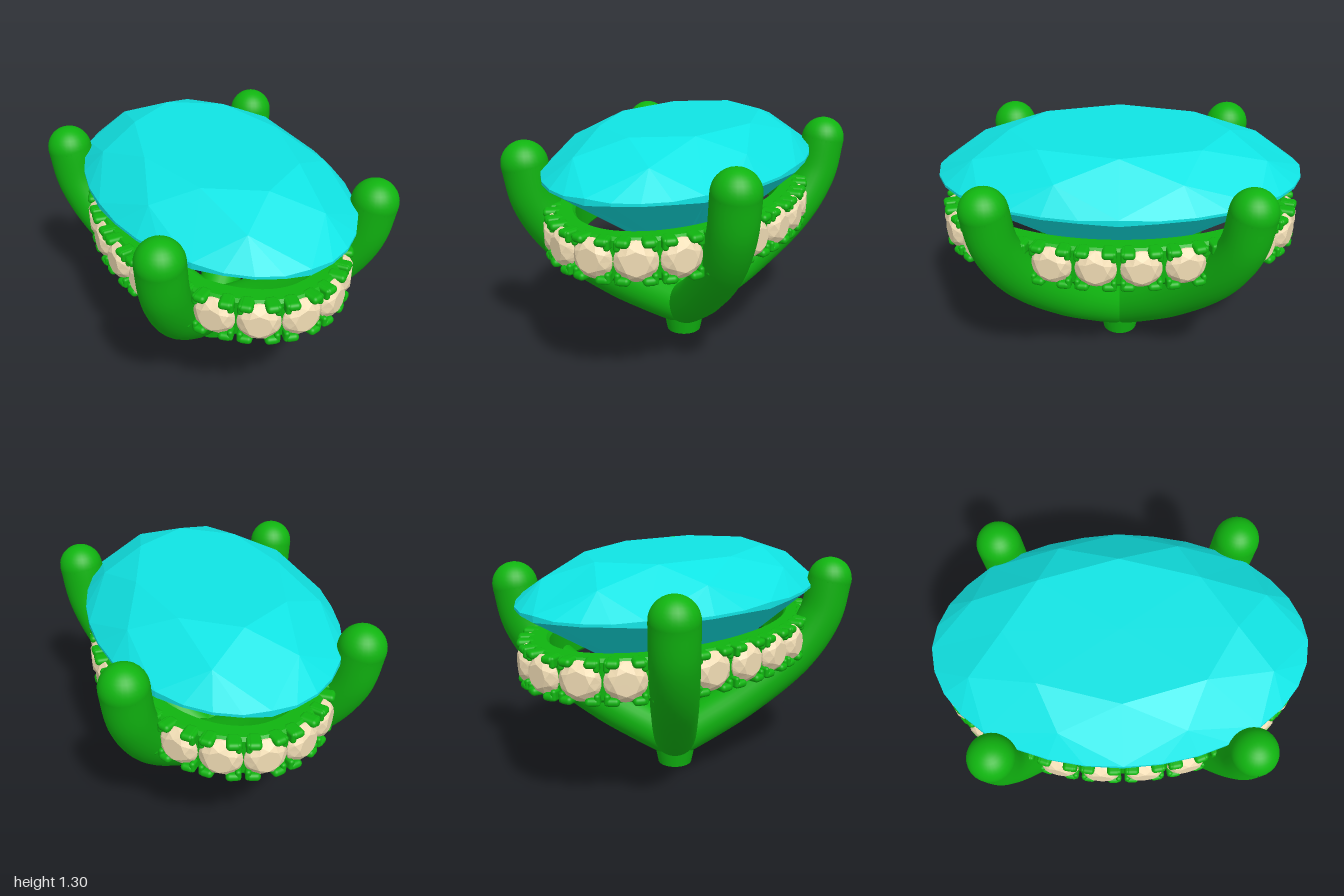
import * as THREE from 'three';
import { toCreasedNormals } from 'three/addons/utils/BufferGeometryUtils.js';
import { RoundedBoxGeometry } from 'three/addons/geometries/RoundedBoxGeometry.js';

const metal = new THREE.MeshStandardMaterial({ color: 0x10b410 });
const aqua = new THREE.MeshStandardMaterial({ color: 0x10e4e4, flatShading: true });
const cream = new THREE.MeshStandardMaterial({ color: 0xf0dcb4, flatShading: true });

function add(parent, name, geometry, material, x = 0, y = 0, z = 0) {
  const mesh = new THREE.Mesh(geometry, material);
  mesh.name = name;
  mesh.position.set(x, y, z);
  parent.add(mesh);
  return mesh;
}

// Oval brilliant cut: a, b are half widths; h holds the heights of each ring.
function brilliant(a, b, h) {
  const at = (deg, r, y) => {
    const t = THREE.MathUtils.degToRad(deg);
    return [a * r * Math.sin(t), y, b * r * Math.cos(t)];
  };
  const table = k => at(45 * k, 0.6, h.table);
  const star = k => at(45 * k + 22.5, 0.84, h.star);
  const wave = j => (j % 4 === 0 ? h.wave : 0);
  const upper = j => at(11.25 * j, 1, h.upper + wave(j));
  const lower = j => at(11.25 * j, 1, h.lower - wave(j));
  const pavilion = k => at(45 * k + 22.5, 0.2, h.pavilion);
  const culet = [0, h.culet, 0];
  const pos = [];
  const face = (...p) => {
    for (let i = 1; i < p.length - 1; i++) pos.push(...p[0], ...p[i], ...p[i + 1]);
  };
  for (let k = 0; k < 8; k++) {
    face([0, h.table, 0], table(k), table(k + 1));
    face(table(k), star(k), table(k + 1));
    face(table(k), star(k - 1), upper(4 * k), star(k));
    face(culet, pavilion(k), lower(4 * k), pavilion(k - 1));
    for (let j = 4 * k; j < 4 * k + 4; j++) {
      face(star(k), upper(j), upper(j + 1));
      face(upper(j), lower(j), lower(j + 1), upper(j + 1));
      face(pavilion(k), lower(j + 1), lower(j));
    }
  }
  const g = new THREE.BufferGeometry();
  g.setAttribute('position', new THREE.Float32BufferAttribute(pos, 3));
  g.computeVertexNormals();
  return g;
}

// Outer oval of the halo, and a frame on it: x along, y outward, z up.
const oval = new THREE.EllipseCurve(0, 0, 0.665, 1.0);
oval.arcLengthDivisions = 800;
function frameAt(u) {
  const p = oval.getPointAt(u), t = oval.getTangentAt(u);
  return new THREE.Matrix4().makeBasis(
    new THREE.Vector3(t.x, 0, t.y),
    new THREE.Vector3(t.y, 0, -t.x),
    new THREE.Vector3(0, 1, 0)
  ).setPosition(p.x, 0.788, p.y);
}

// Closed band swept round the oval from a chamfered section (outward, up).
function bandGeometry() {
  const section = [[-0.055, -0.095], [-0.055, 0.095], [-0.07, 0.112], [-0.155, 0.112],
    [-0.17, 0.095], [-0.17, -0.095], [-0.155, -0.112], [-0.07, -0.112]];
  const n = 120, m = section.length, pos = [], index = [];
  for (let i = 0; i < n; i++) {
    const f = frameAt(i / n);
    for (const [out, up] of section) pos.push(...new THREE.Vector3(0, out, up).applyMatrix4(f).toArray());
    for (let j = 0; j < m; j++) {
      const p = i * m + j, q = i * m + (j + 1) % m;
      const r = ((i + 1) % n) * m + j, s = ((i + 1) % n) * m + (j + 1) % m;
      index.push(p, q, r, q, s, r);
    }
  }
  const g = new THREE.BufferGeometry();
  g.setAttribute('position', new THREE.Float32BufferAttribute(pos, 3));
  g.setIndex(index);
  return toCreasedNormals(g, 0.6);
}

export function createModel() {
  const model = new THREE.Group();
  model.name = 'gemSetting';

  // Large centre stone
  add(model, 'centreStone', brilliant(0.665, 1.0, {
    table: 1.3, star: 1.212, upper: 1.085, lower: 1.07, wave: 0.01, pavilion: 0.565, culet: 0.49
  }), aqua);

  // Four curved prongs meeting at the base, cut flat at the ground
  const prongs = new THREE.Group();
  prongs.name = 'prongs';
  model.add(prongs);
  const path = [[-0.05, 0.125], [0, 0.155], [0.22, 0.272], [0.455, 0.41], [0.79, 0.67], [0.95, 0.9], [1, 1.112]];
  for (const sx of [-1, 1]) for (const sz of [-1, 1]) {
    const curve = new THREE.CatmullRomCurve3(
      path.map(([t, y]) => new THREE.Vector3(sx * 0.607 * t, y, sz * 0.66 * t)));
    const tube = new THREE.TubeGeometry(curve, 48, 0.125, 28);
    const p = tube.attributes.position;
    for (let i = 0; i < p.count; i++) p.setY(i, Math.max(0, p.getY(i)));
    add(prongs, 'prong', tube, metal);
    add(prongs, 'prongTip', new THREE.SphereGeometry(0.125, 28, 18), metal, sx * 0.607, 1.112, sz * 0.66);
  }
  add(prongs, 'prongBase', new THREE.CylinderGeometry(0.13, 0.1, 0.15, 28), metal, 0, 0.075, 0);

  // Halo: band, outward-facing small stones, and claws between them
  const halo = new THREE.Group();
  halo.name = 'halo';
  model.add(halo);
  add(halo, 'haloBand', bandGeometry(), metal);

  const stone = brilliant(0.108, 0.104, {
    table: 0.048, star: 0.03, upper: 0.004, lower: -0.004, wave: 0, pavilion: -0.06, culet: -0.075
  });
  const claw = new RoundedBoxGeometry(0.07, 0.1, 0.042, 3, 0.02);
  const tab = new RoundedBoxGeometry(0.03, 0.085, 0.06, 3, 0.014);
  const count = 22;
  const station = (name, u) => {
    const g = new THREE.Group();
    g.name = name;
    g.applyMatrix4(frameAt(u));
    halo.add(g);
    return g;
  };
  for (let i = 0; i < count; i++) {
    add(station('stoneSeat', (i + 0.5) / count), 'haloStone', stone, cream, 0, -0.05, 0);
    const joint = station('clawSet', i / count);
    for (const side of [-1, 1]) for (const up of [-1, 1]) {
      add(joint, 'claw', claw, metal, side * 0.05, -0.054, up * 0.095);
      add(joint, 'clawTab', tab, metal, side * 0.024, -0.052, up * 0.084);
    }
  }
  return model;
}
